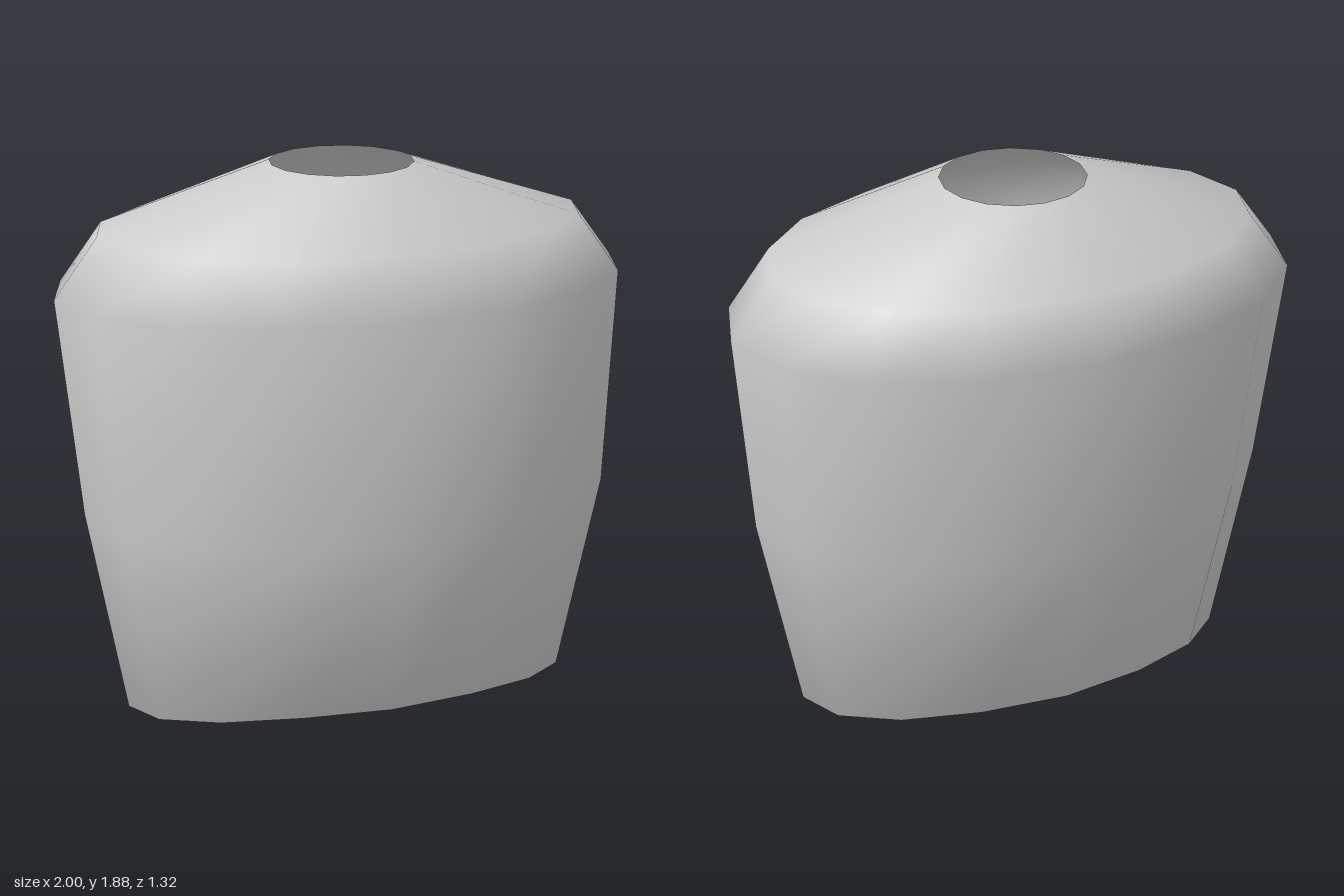
import * as THREE from 'three';

const SIDES = 16;

// Elliptical cross-sections: y at the sides, half width, half depth, z centre,
// and lift: how far the front and back rise above the sides
const rings = [
  { y: 0.025, rx: 0.5, rz: 0.31, cz: 0.025, lift: 0.05 },  // waist opening
  { y: 0.005, rx: 0.8, rz: 0.495, cz: 0.025, lift: 0.085 }, // lower hem
  { y: 0.74, rx: 0.935, rz: 0.625, cz: 0.035, lift: 0 },    // belly
  { y: 1.48, rx: 1.0, rz: 0.64, cz: -0.02, lift: 0 },       // chest
  { y: 1.68, rx: 0.85, rz: 0.56, cz: -0.02, lift: 0 },      // shoulders
  { y: 1.88, rx: 0.245, rz: 0.245, cz: -0.02, lift: 0 },    // neck opening
];

// Skins the rings into one smooth open shell
function loft(sections) {
  const positions = [];
  const indices = [];
  sections.forEach(({ y, rx, rz, cz, lift }) => {
    for (let i = 0; i < SIDES; i++) {
      const a = (i / SIDES) * Math.PI * 2;
      const s = Math.sin(a);
      const rise = lift * Math.min(1, Math.pow(Math.abs(s), 1.4) * 1.08);
      positions.push(rx * Math.cos(a), y + rise, cz + rz * s);
    }
  });
  for (let r = 0; r < sections.length - 1; r++) {
    for (let i = 0; i < SIDES; i++) {
      const j = (i + 1) % SIDES;
      const a = r * SIDES + i;
      const b = r * SIDES + j;
      const c = a + SIDES;
      const d = b + SIDES;
      indices.push(a, c, b, b, c, d);
    }
  }
  const geometry = new THREE.BufferGeometry();
  geometry.setAttribute('position', new THREE.Float32BufferAttribute(positions, 3));
  geometry.setIndex(indices);
  geometry.computeVertexNormals();
  return geometry;
}

export function createModel() {
  const group = new THREE.Group();
  group.name = 'torso';
  const material = new THREE.MeshStandardMaterial({ color: 0xcccccc, side: THREE.DoubleSide });
  const shell = new THREE.Mesh(loft(rings), material);
  shell.name = 'torsoShell';
  group.add(shell);
  return group;
}
